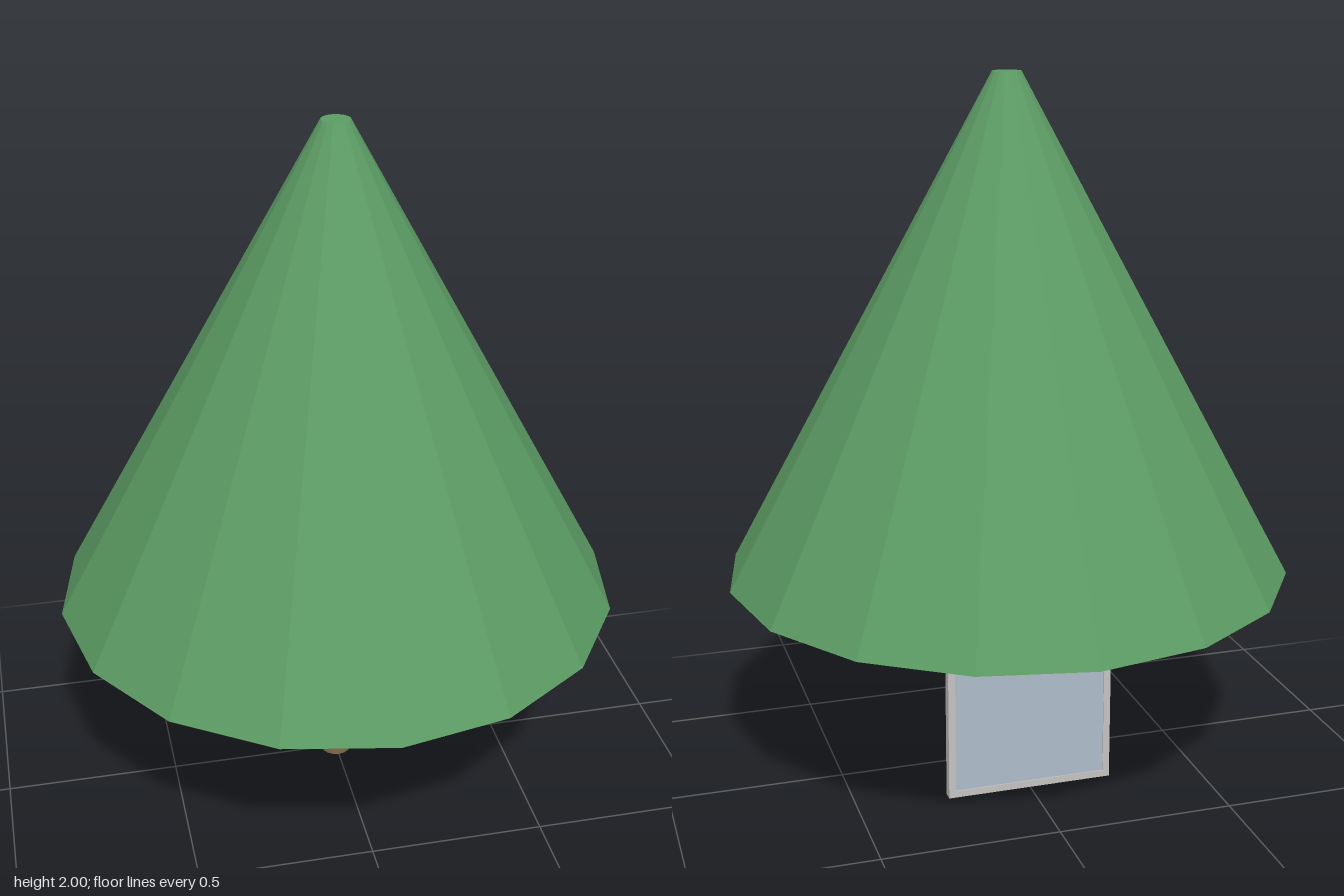
import * as THREE from 'three';

const mat = (name, color, flatShading = false) => {
  const m = new THREE.MeshStandardMaterial({ color, flatShading });
  m.name = name;
  return m;
};

export function createModel() {
  const leaf = mat('leaf green', 0x5c9c64, true);
  const bark = mat('bark brown', 0x80684c);
  const metal = mat('frame grey', 0xc4c2c0);
  const glass = mat('pane blue', 0xadbbc9);

  const model = new THREE.Group();
  model.name = 'treeWithPanel';
  const add = (name, geometry, material, y, z = 0, parent = model) => {
    const mesh = new THREE.Mesh(geometry, material);
    mesh.name = name;
    mesh.position.set(0, y, z);
    parent.add(mesh);
    return mesh;
  };

  // Tree: faceted truncated cone on a tapered trunk
  add('canopy', new THREE.CylinderGeometry(0.04, 0.8, 1.4, 16), leaf, 1.3);
  add('trunk', new THREE.CylinderGeometry(0.033, 0.046, 0.62, 16), bark, 0.31);

  // Upright panel behind the trunk
  const panel = new THREE.Group();
  panel.name = 'panel';
  model.add(panel);

  const rect = (C, h) => new C([[-h, -h], [h, -h], [h, h], [-h, h]].map(([x, y]) => new THREE.Vector2(x, y)));
  const outline = rect(THREE.Shape, 0.24);
  outline.holes.push(rect(THREE.Path, 0.22));
  const frame = new THREE.ExtrudeGeometry(outline, { depth: 0.03, bevelEnabled: false });
  add('panelFrame', frame, metal, 0.24, -0.23, panel);

  // Pane: set back at the front, almost flush at the back
  add('panelPane', new THREE.BoxGeometry(0.44, 0.44, 0.014), glass, 0.24, -0.22, panel);

  return model;
}
